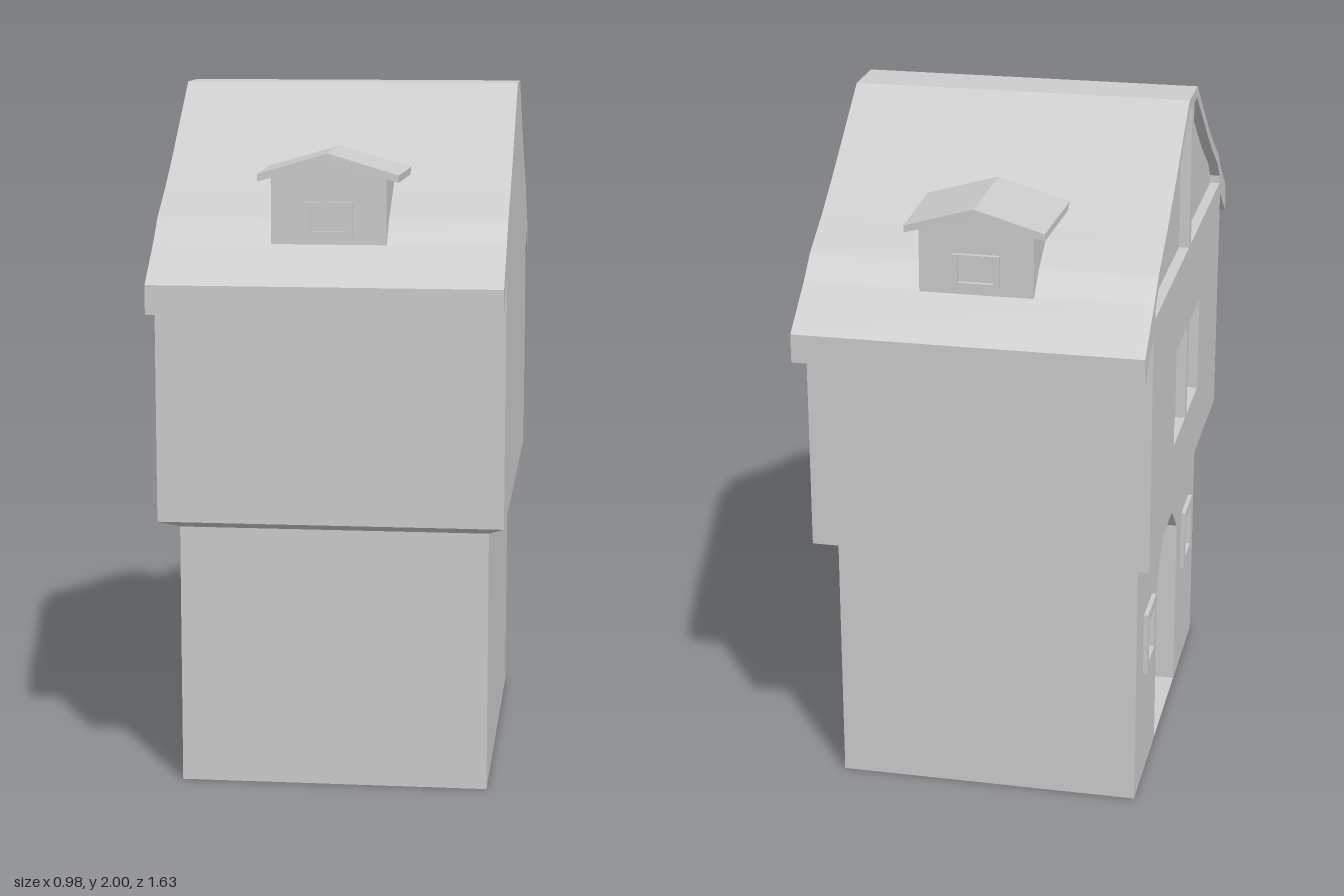
import * as THREE from 'three';

const wall = new THREE.MeshStandardMaterial({ color: 0xcccccc });
wall.name = 'plain grey';

const toPoints = (list) => list.map(([u, v]) => new THREE.Vector2(u, v));
const rect = (u0, v0, u1, v1) => [[u0, v0], [u1, v0], [u1, v1], [u0, v1]];
const mirror = (list) => list.map(([u, v]) => [-u, v]).reverse();

function extrude(outline, holes, depth) {
  const shape = new THREE.Shape(toPoints(outline));
  holes.forEach((h) => shape.holes.push(new THREE.Path(toPoints(h))));
  return new THREE.ExtrudeGeometry(shape, { depth, bevelEnabled: false });
}

function add(parent, name, geometry) {
  const mesh = new THREE.Mesh(geometry, wall);
  mesh.name = name;
  parent.add(mesh);
  return mesh;
}

// Outline in (z, y), filling the space from x0 to x1
function slab(parent, name, outline, holes, x0, x1) {
  const geometry = extrude(outline, holes, x1 - x0);
  geometry.rotateY(-Math.PI / 2).translate(x1, 0, 0);
  return add(parent, name, geometry);
}

function makeDormer() {
  const dormer = new THREE.Group();
  // Gabled body sunk into the roof slope
  const body = [[-0.16, 1.583], [0.16, 1.583], [0.16, 1.78], [0, 1.82], [-0.16, 1.78]];
  add(dormer, 'dormerBody', extrude(body, [], 0.278).translate(0, 0, 0.4));

  // Folded roof, slightly narrower and further forward at the ridge
  const fold = [[-0.2, 1.757], [0, 1.812], [0.2, 1.757], [0.2, 1.777], [0, 1.836], [-0.2, 1.777]];
  const roof = extrude(fold, [], 0.31).translate(0, 0, 0.392);
  const p = roof.attributes.position;
  for (let i = 0; i < p.count; i++) {
    const front = p.getZ(i) > 0.6;
    p.setX(i, p.getX(i) * (front ? 0.975 : 1.02));
    if (front && p.getY(i) > 1.8) p.setZ(i, 0.707);
  }
  roof.computeVertexNormals();
  add(dormer, 'dormerRoof', roof);

  // Window surround
  const frame = extrude(rect(-0.066, 1.605, 0.066, 1.7),
    [rect(-0.05, 1.62, 0.05, 1.685)], 0.014).translate(0, 0, 0.677);
  add(dormer, 'dormerWindowFrame', frame);
  return dormer;
}

export function createModel() {
  const house = new THREE.Group();
  house.name = 'house';

  // Lower storey: solid core, then layers cut by the door and windows
  const lower = rect(-0.573, 0, 0.573, 0.757);
  const door = [[-0.195, 0.004], [0.195, 0.004], [0.195, 0.545], [0.065, 0.655],
    [0, 0.678], [-0.065, 0.655], [-0.195, 0.545]];
  const smallWindows = [-0.37, 0.375].map((z) => rect(z - 0.05, 0.38, z + 0.05, 0.51));
  slab(house, 'lowerStorey', lower, [], -0.365, 0.443);
  slab(house, 'doorRecess', lower, [door], -0.405, -0.365);
  slab(house, 'lowerWall', lower, [door, ...smallWindows], -0.443, -0.405);
  [-0.37, 0.375].forEach((z, i) => {
    slab(house, 'smallWindowFrame', rect(z - 0.075, 0.35, z + 0.075, 0.542),
      [smallWindows[i]], -0.456, -0.443);
  });

  // Sloping underside of the overhanging upper storey
  const jetty = new THREE.BoxGeometry(0.98, 0.035, 1.346).translate(0, 0.7725, 0);
  const p = jetty.attributes.position;
  for (let i = 0; i < p.count; i++) {
    if (p.getY(i) < 0.77) {
      p.setX(i, Math.sign(p.getX(i)) * 0.443);
      p.setZ(i, Math.sign(p.getZ(i)) * 0.573);
    }
  }
  jetty.computeVertexNormals();
  add(house, 'jetty', jetty);

  // Upper storey and roof share one profile running along x
  const half = [[0.673, 0.79], [0.673, 1.5], [0.815, 1.4], [0.815, 1.482], [0.673, 1.587],
    [0.605, 1.648], [0.48, 1.72], [0.37, 1.792], [0.08, 2]];
  const profile = [...half, ...mirror(half)];
  const gable = [[0.02, 1.54], [0.65, 1.54], [0.65, 1.565], [0.595, 1.618], [0.47, 1.692],
    [0.36, 1.764], [0.075, 1.967], [0.02, 1.967]];
  const pane = rect(0.015, 1.0, 0.24, 1.292);
  const openings = [gable, mirror(gable), pane, mirror(pane)];
  slab(house, 'upperStoreyAndRoof', profile, [], -0.46, 0.49);
  slab(house, 'upperWall', profile, openings, -0.49, -0.46);

  // Matching dormers on both slopes
  for (const [name, turn] of [['frontDormer', 0], ['backDormer', Math.PI]]) {
    const dormer = makeDormer();
    dormer.name = name;
    dormer.rotation.y = turn;
    house.add(dormer);
  }
  return house;
}
